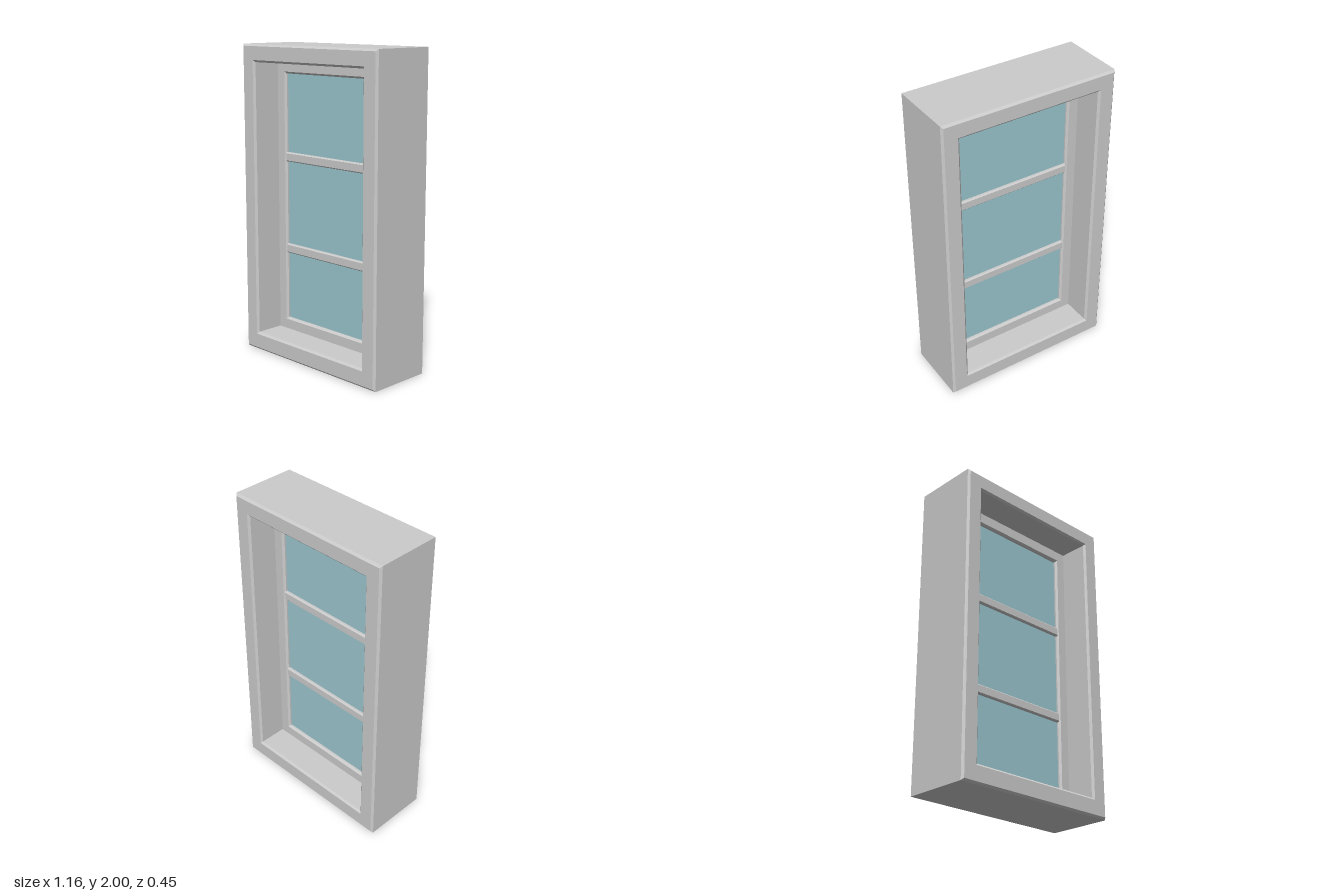
import * as THREE from 'three';

const grey = new THREE.MeshStandardMaterial({ color: 0xcccccc });
const blue = new THREE.MeshStandardMaterial({ color: 0x9bc6ce });

// Rectangle outline from its left, bottom, right and top edges
function trace(path, x0, y0, x1, y1) {
  path.moveTo(x0, y0);
  path.lineTo(x1, y0);
  path.lineTo(x1, y1);
  path.lineTo(x0, y1);
  path.closePath();
  return path;
}

// Chamfered slab centred on z = 0, with an optional rectangular opening
function slab(name, outer, hole, depth, chamfer) {
  const shape = trace(new THREE.Shape(), ...outer);
  if (hole) shape.holes.push(trace(new THREE.Path(), ...hole));
  const geometry = new THREE.ExtrudeGeometry(shape, {
    depth: depth - 2 * chamfer,
    bevelEnabled: true,
    bevelSegments: 1,
    bevelSize: chamfer,
    bevelThickness: chamfer,
    bevelOffset: -chamfer,
  });
  geometry.translate(0, 0, -depth / 2 + chamfer);
  const mesh = new THREE.Mesh(geometry, grey);
  mesh.name = name;
  return mesh;
}

export function createModel() {
  const model = new THREE.Group();
  model.name = 'window';

  // Deep outer casing
  model.add(slab('outerFrame', [-0.58, 0, 0.58, 2], [-0.467, 0.118, 0.467, 1.888], 0.45, 0.013));

  // Slim sash, its outer edge let into the casing
  model.add(slab('sash', [-0.49, 0.095, 0.49, 1.91], [-0.393, 0.193, 0.393, 1.812], 0.054, 0.012));

  // Horizontal glazing bars
  for (const y of [0.67, 1.277]) {
    model.add(slab('glazingBar', [-0.4, y - 0.03, 0.4, y + 0.03], null, 0.05, 0.007));
  }

  // Glass pane
  const glass = new THREE.Mesh(new THREE.BoxGeometry(0.8, 1.635, 0.01), blue);
  glass.name = 'glass';
  glass.position.y = 1.0025;
  model.add(glass);

  return model;
}
